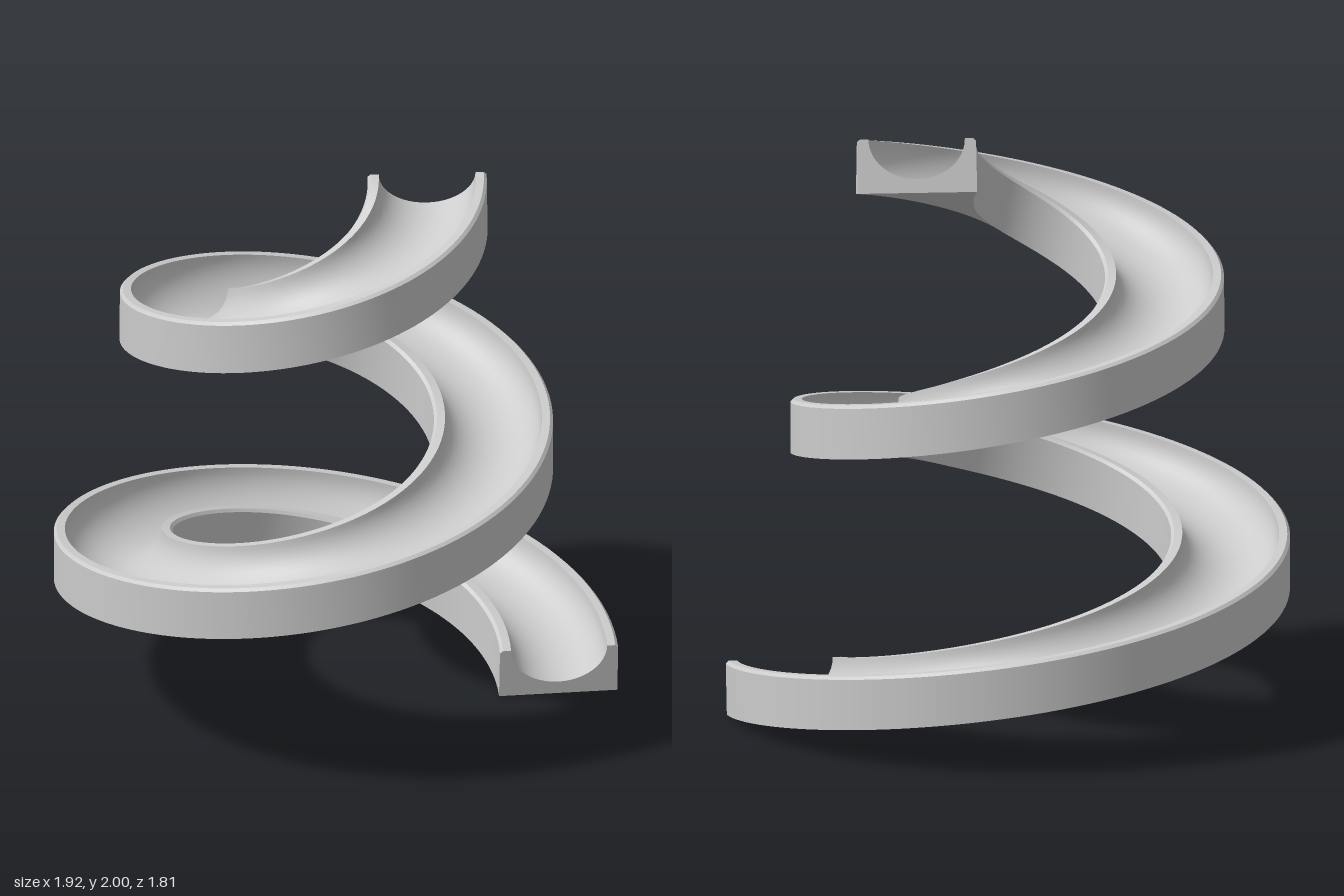
import * as THREE from 'three';
import { toCreasedNormals } from 'three/addons/utils/BufferGeometryUtils.js';

const TURNS = 2, STEPS = 240;
const HALF_W = 0.203, HALF_H = 0.0925;
const { lerp, degToRad } = THREE.MathUtils;

// Cross-section (x outward, y up): a block with a rounded trough, anticlockwise
function chuteProfile() {
  const p = [
    [-HALF_W, HALF_H - 0.01], [-HALF_W, -HALF_H], [HALF_W, -HALF_H],
    [HALF_W, HALF_H - 0.01], [HALF_W - 0.01, HALF_H],
  ].map(([x, y]) => new THREE.Vector2(x, y));
  const n = 24;
  for (let i = 0; i <= n; i++) {
    const a = (Math.PI * i) / n;
    p.push(new THREE.Vector2(0.165 * Math.cos(a), HALF_H - 0.138 * Math.sin(a)));
  }
  p.push(new THREE.Vector2(-HALF_W + 0.01, HALF_H));
  return p;
}

// Frame of the section at t = 0 (foot) to 1 (top) of the tapering helix
function frameAt(t) {
  const a = t * TURNS * Math.PI * 2;
  const radius = lerp(0.814, 0.364, t);
  const yaw = degToRad(lerp(5, 1, t)), tilt = degToRad(lerp(8.5, 17.5, t));
  const radial = new THREE.Vector3(Math.cos(a), 0, -Math.sin(a));
  const along = new THREE.Vector3(-Math.sin(a), 0, -Math.cos(a));
  const origin = radial.clone().multiplyScalar(radius)
    .add(new THREE.Vector3(-0.056, lerp(0.0915, 1.9118, t), 0.053));
  const out = radial.clone().multiplyScalar(Math.cos(yaw)).addScaledVector(along, Math.sin(yaw));
  const ahead = along.clone().multiplyScalar(Math.cos(yaw)).addScaledVector(radial, -Math.sin(yaw));
  const up = new THREE.Vector3(0, Math.cos(tilt), 0).addScaledVector(ahead, -Math.sin(tilt));
  return { origin, out, up };
}

function chuteGeometry() {
  const profile = chuteProfile(), n = profile.length;
  const positions = [], index = [];
  for (let i = 0; i <= STEPS; i++) {
    const { origin, out, up } = frameAt(i / STEPS);
    for (const q of profile) {
      const v = origin.clone().addScaledVector(out, q.x).addScaledVector(up, q.y);
      positions.push(v.x, v.y, v.z);
    }
  }
  // Skin between neighbouring sections
  for (let i = 0; i < STEPS; i++) {
    for (let j = 0; j < n; j++) {
      const a = i * n + j, b = i * n + ((j + 1) % n);
      index.push(a, a + n, b + n, a, b + n, b);
    }
  }
  // End faces
  const last = STEPS * n;
  for (const [a, b, c] of THREE.ShapeUtils.triangulateShape(profile, [])) {
    index.push(a, b, c, last + a, last + c, last + b);
  }
  const geometry = new THREE.BufferGeometry();
  geometry.setAttribute('position', new THREE.Float32BufferAttribute(positions, 3));
  geometry.setIndex(index);
  return toCreasedNormals(geometry, 0.6);
}

export function createModel() {
  const model = new THREE.Group();
  model.name = 'spiralSlide';
  const chute = new THREE.Mesh(chuteGeometry(), new THREE.MeshStandardMaterial({ color: 0xcccccc }));
  chute.name = 'spiralChute';
  model.add(chute);
  return model;
}
